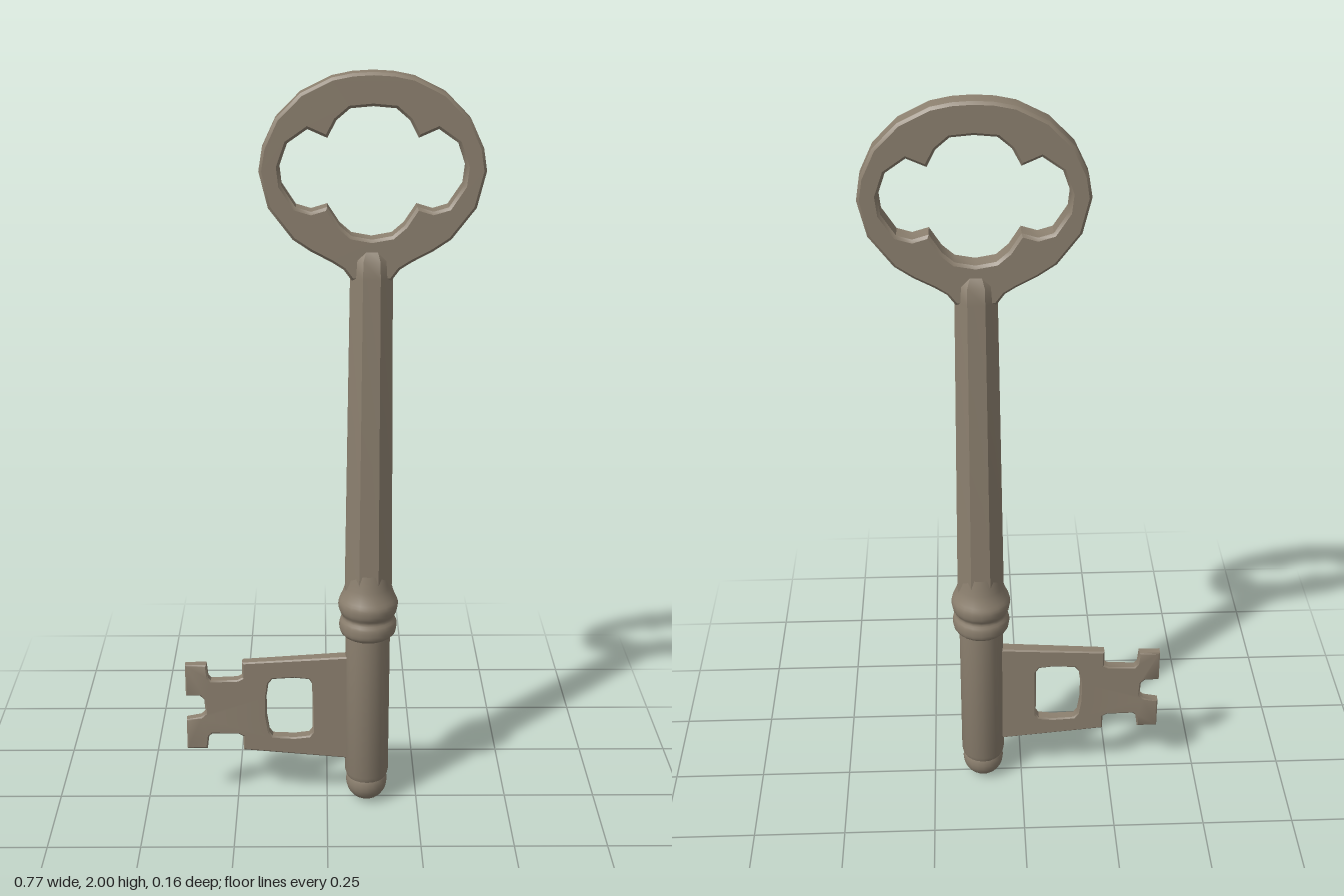
import * as THREE from 'three';
import { toCreasedNormals } from 'three/addons/utils/BufferGeometryUtils.js';

const CX = 0.11; // axis of the shank
const V = (list) => list.map(([x, y]) => new THREE.Vector2(x, y));

// Half outline (left side, offsets from the axis, top to bottom) mirrored to a closed loop
function mirrored(half) {
  const other = half.slice(1, -1).reverse().map(([x, y]) => [-x, y]);
  return V([...half, ...other].map(([x, y]) => [x + CX, y]));
}

// Plate with one hole, centred on z with a small bevel kept inside the outline
function plate(outline, hole, depth, bevel) {
  const shape = new THREE.Shape(outline);
  shape.holes.push(new THREE.Path(hole));
  const g = new THREE.ExtrudeGeometry(shape, {
    depth: depth - 2 * bevel, bevelEnabled: true, bevelThickness: bevel,
    bevelSize: bevel, bevelOffset: -bevel, bevelSegments: 1,
  });
  g.translate(0, 0, -depth / 2 + bevel);
  return g;
}

export function createModel() {
  const model = new THREE.Group();
  model.name = 'key';
  const metal = new THREE.MeshStandardMaterial({ color: 0x8c806f });
  metal.name = 'aged metal';
  const add = (name, geometry, crease) => {
    const mesh = new THREE.Mesh(crease ? toCreasedNormals(geometry, crease) : geometry, metal);
    mesh.name = name;
    model.add(mesh);
    return mesh;
  };

  // Bow: oval ring drawn down to the neck, with a four-lobed opening
  const bowOuter = mirrored([
    [0, 2.0], [-0.05, 1.997], [-0.1, 1.987], [-0.175, 1.95], [-0.235, 1.89], [-0.268, 1.82],
    [-0.277, 1.765], [-0.255, 1.675], [-0.195, 1.597], [-0.15, 1.567], [-0.1, 1.541],
    [-0.07, 1.522], [-0.05, 1.495], [0, 1.49],
  ]);
  const bowHole = mirrored([
    [0, 1.92], [-0.055, 1.915], [-0.088, 1.887], [-0.11, 1.845], [-0.158, 1.866], [-0.207, 1.832],
    [-0.227, 1.775], [-0.222, 1.73], [-0.187, 1.677], [-0.15, 1.666], [-0.11, 1.678],
    [-0.08, 1.632], [-0.05, 1.606], [0, 1.597],
  ]);
  add('bow', plate(bowOuter, bowHole, 0.062, 0.007), 0.6);

  // Shank: tapered octagon, slightly wider than deep, closing into the bow
  const shankProfile = V([[0.062, 0.6], [0.062, 0.7], [0.053, 1.5], [0.051, 1.545], [0.03, 1.575], [0, 1.578]]);
  const shankGeometry = new THREE.LatheGeometry(shankProfile, 8, Math.PI / 8);
  shankGeometry.scale(1.08, 1, 0.93);
  const shank = add('shank', shankGeometry.toNonIndexed(), 0.6);
  shank.position.x = CX;

  // Collar: flare and two soft rings
  const collarCurve = new THREE.SplineCurve(V([
    [0.056, 0.7], [0.063, 0.655], [0.071, 0.63], [0.08, 0.608], [0.078, 0.585],
    [0.07, 0.568], [0.077, 0.55], [0.076, 0.525], [0.066, 0.512], [0.055, 0.507],
  ]));
  const collar = add('collar', new THREE.LatheGeometry(collarCurve.getPoints(27).reverse(), 20));
  collar.position.x = CX;

  // Barrel and rounded tip
  const barrel = add('barrel', new THREE.LatheGeometry(V([
    [0.054, 0.074], [0.06, 0.09], [0.06, 0.515],
  ]), 20), 0.6);
  barrel.position.x = CX;
  const tipPoints = [[0, 0]];
  for (let i = 1; i <= 7; i++) {
    const a = (i / 7) * Math.PI / 2;
    tipPoints.push([0.057 * Math.sin(a), 0.057 * (1 - Math.cos(a))]);
  }
  tipPoints.push([0.056, 0.07], [0.053, 0.078]);
  const tip = add('tip', new THREE.LatheGeometry(V(tipPoints), 20));
  tip.position.x = CX;

  // Bit: notched flag with a rounded window, thinning towards its free end
  const bitOutline = V([
    [0.08, 0.446], [-0.232, 0.426], [-0.232, 0.38], [-0.245, 0.373], [-0.318, 0.37], [-0.326, 0.38],
    [-0.33, 0.418], [-0.388, 0.418], [-0.388, 0.324], [-0.35, 0.324], [-0.338, 0.313],
    [-0.335, 0.27], [-0.348, 0.258], [-0.388, 0.25], [-0.388, 0.16], [-0.332, 0.16],
    [-0.327, 0.198], [-0.318, 0.206], [-0.245, 0.205], [-0.232, 0.198], [-0.232, 0.156], [0.08, 0.128],
  ]);
  const bitHole = V([
    [-0.15, 0.376], [-0.09, 0.38], [-0.05, 0.376], [-0.041, 0.362], [-0.041, 0.212], [-0.05, 0.2],
    [-0.09, 0.195], [-0.15, 0.198], [-0.16, 0.212], [-0.167, 0.26], [-0.167, 0.32], [-0.161, 0.362],
  ]);
  const bitGeometry = plate(bitOutline, bitHole, 0.036, 0.004);
  const p = bitGeometry.attributes.position;
  for (let i = 0; i < p.count; i++) {
    const t = (p.getX(i) + 0.39) / 0.47;
    p.setZ(i, p.getZ(i) * (0.68 + 0.32 * t) - 0.002);
  }
  bitGeometry.computeVertexNormals();
  add('bit', bitGeometry, 0.6);

  return model;
}
